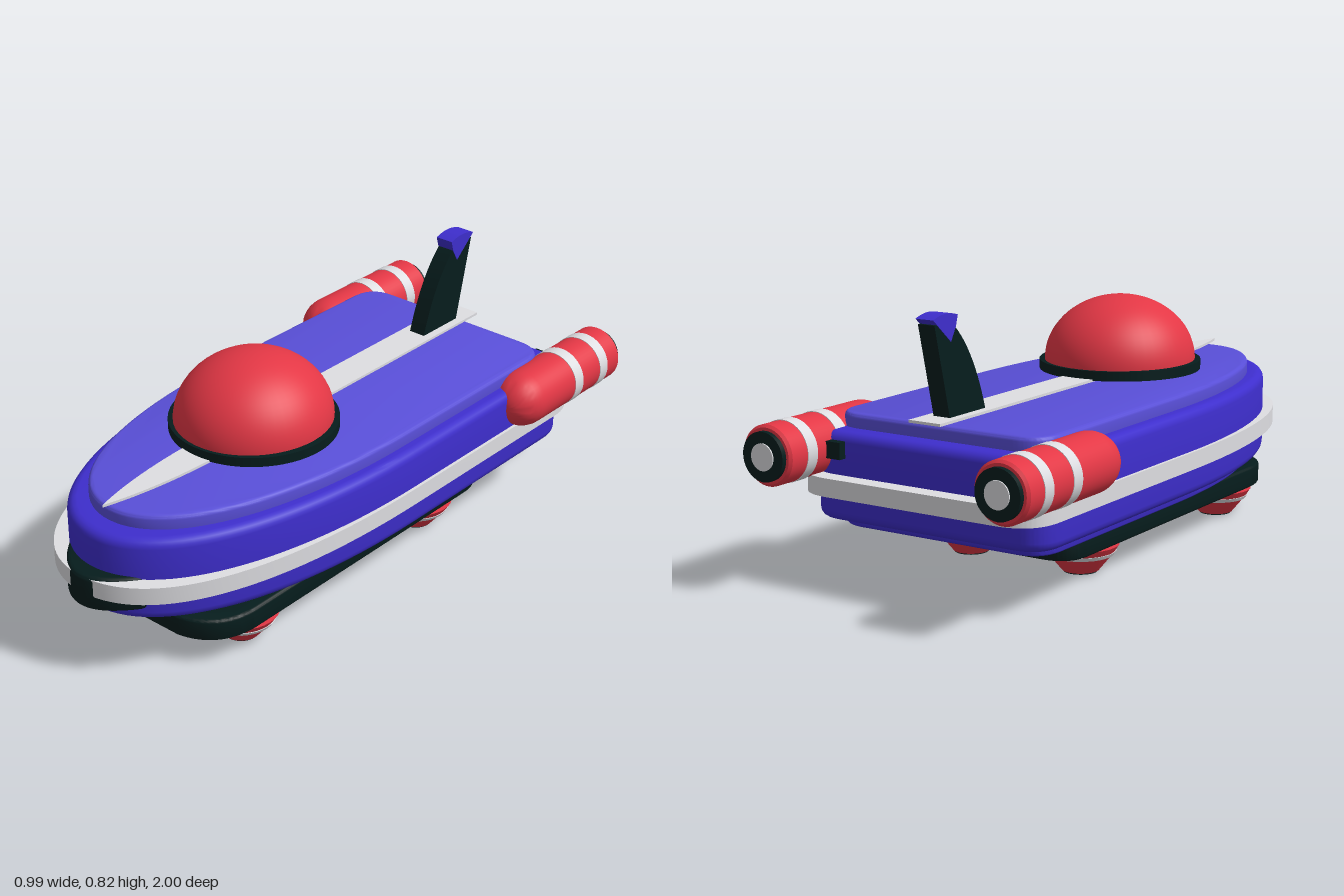
import * as THREE from 'three';
import { toCreasedNormals } from 'three/addons/utils/BufferGeometryUtils.js';

const material = (name, color) => {
  const m = new THREE.MeshStandardMaterial({ color });
  m.name = name;
  return m;
};

export function createModel() {
  const blue = material('blue', 0x3e2ecd);
  const deckBlue = material('deck blue', 0x594fd8);
  const red = material('red', 0xe33745);
  const grey = material('light grey', 0xdedee2);
  const dark = material('dark green', 0x061d1d);
  const model = new THREE.Group();
  model.name = 'hoverSpeeder';

  const add = (parent, name, geometry, mat) => {
    const mesh = new THREE.Mesh(geometry, mat);
    mesh.name = name;
    parent.add(mesh);
    return mesh;
  };

  // Plan outline (x, z) extruded between two heights with a rounded edge
  const slab = (shape, y0, y1, b) => {
    const g = new THREE.ExtrudeGeometry(shape, {
      depth: y1 - y0 - 2 * b, bevelEnabled: b > 0, bevelThickness: b, bevelSize: b,
      bevelOffset: -b, bevelSegments: 4, curveSegments: 28,
    });
    g.rotateX(Math.PI / 2).translate(0, y1 - b, 0);
    return toCreasedNormals(g, 0.6);
  };

  // Boat plan: full curved nose (k sets fullness), straight sides, rounded stern corners
  const boat = (w, nose, back, r, k) => {
    const s = new THREE.Shape();
    s.moveTo(w, 0);
    s.bezierCurveTo(w, k * nose, k * w, nose, 0, nose);
    s.bezierCurveTo(-k * w, nose, -w, k * nose, -w, 0);
    s.lineTo(-w, back + r);
    s.quadraticCurveTo(-w, back, -w + r, back);
    s.lineTo(w - r, back);
    s.quadraticCurveTo(w, back, w, back + r);
    return s;
  };

  const turned = (points, segments = 48) => toCreasedNormals(
    new THREE.LatheGeometry(points.map(([r, y]) => new THREE.Vector2(r, y)), segments), 0.6);

  // Hull layers and the trim belt
  add(model, 'hull', slab(boat(0.41, 0.945, -0.8, 0.11, 0.6), 0.195, 0.46, 0.028), blue);
  add(model, 'deck', slab(boat(0.365, 0.87, -0.73, 0.1, 0.6), 0.44, 0.503, 0.014), deckBlue);
  add(model, 'lowerPlate', slab(boat(0.365, 0.87, -0.73, 0.1, 0.6), 0.165, 0.22, 0.01), blue);
  add(model, 'trimBelt', slab(boat(0.42, 0.9925, -0.855, 0.13, 0.64), 0.28, 0.335, 0), grey);

  // Nose bumper breaking through the belt
  const bumper = new THREE.Shape();
  bumper.moveTo(0.185, 0.84);
  bumper.quadraticCurveTo(0, 1.157, -0.185, 0.84);
  add(model, 'noseBumper', slab(bumper, 0.232, 0.342, 0.014), dark);

  // Underbody with cut front corners
  const base = new THREE.Shape();
  base.moveTo(0.307, 0.6);
  base.quadraticCurveTo(0.3, 0.75, 0.16, 0.777);
  base.lineTo(-0.16, 0.777);
  base.quadraticCurveTo(-0.3, 0.75, -0.307, 0.6);
  base.lineTo(-0.307, -0.4);
  base.quadraticCurveTo(-0.307, -0.503, -0.205, -0.503);
  base.lineTo(0.205, -0.503);
  base.quadraticCurveTo(0.307, -0.503, 0.307, -0.4);
  add(model, 'underbody', slab(base, 0.087, 0.157, 0.01), dark);

  // Four hover jets
  for (const x of [-0.2, 0.2]) for (const z of [0.55, -0.28]) {
    const jet = new THREE.Group();
    jet.name = 'hoverJet';
    jet.position.set(x, 0, z);
    add(jet, 'jetCone', turned([[0, 0.006], [0.056, 0.006], [0.1, 0.06], [0.117, 0.087], [0, 0.087]], 32), red);
    add(jet, 'jetBand', turned([[0.094, 0.055], [0.1, 0.055], [0.1075, 0.067], [0.1, 0.067]], 32), grey);
    add(jet, 'jetNozzle', new THREE.CylinderGeometry(0.052, 0.052, 0.006, 32).translate(0, 0.005, 0), dark);
    add(jet, 'jetCore', new THREE.CylinderGeometry(0.03, 0.03, 0.005, 24).translate(0, 0.0025, 0), grey);
    model.add(jet);
  }

  // Centre stripe with a pointed front
  const stripe = new THREE.Shape();
  stripe.moveTo(0.055, -0.775);
  stripe.lineTo(0.055, 0.5);
  stripe.quadraticCurveTo(0.048, 0.73, 0, 0.893);
  stripe.quadraticCurveTo(-0.048, 0.73, -0.055, 0.5);
  stripe.lineTo(-0.055, -0.775);
  add(model, 'deckStripe', slab(stripe, 0.511, 0.519, 0), grey);

  // Cockpit dome on its collar
  add(model, 'domeCollar', new THREE.CylinderGeometry(0.258, 0.258, 0.03, 64).translate(0, 0.53, 0.265), dark);
  const dome = add(model, 'dome',
    new THREE.SphereGeometry(1, 48, 20, 0, Math.PI * 2, 0, Math.PI / 2), red);
  dome.scale.set(0.238, 0.205, 0.248);
  dome.position.set(0, 0.545, 0.265);

  // Tail fin: side profile drawn as (-z, y), extruded across x
  const blade = (shape, width) => toCreasedNormals(
    new THREE.ExtrudeGeometry(shape, { depth: width, bevelEnabled: false, curveSegments: 12 })
      .translate(0, 0, -width / 2).rotateY(Math.PI / 2), 0.5);
  const fin = new THREE.Shape();
  fin.moveTo(0.518, 0.506);
  fin.lineTo(0.69, 0.506);
  fin.lineTo(0.759, 0.79);
  fin.lineTo(0.685, 0.79);
  fin.lineTo(0.664, 0.776);
  fin.quadraticCurveTo(0.57, 0.69, 0.518, 0.506);
  add(model, 'tailFin', blade(fin, 0.057), dark);
  const tip = new THREE.Shape();
  tip.moveTo(0.685, 0.735);
  tip.lineTo(0.767, 0.806);
  tip.quadraticCurveTo(0.71, 0.828, 0.652, 0.808);
  tip.lineTo(0.662, 0.775);
  add(model, 'tailFinTip', blade(tip, 0.061), blue);

  // Twin engines on short pylons
  const body = [[0, -0.98], [0.082, -0.98], [0.09, -0.972], [0.09, -0.56]];
  for (let i = 1; i <= 10; i++) {
    const a = (i / 10) * Math.PI / 2;
    body.push([i === 10 ? 0 : 0.09 * Math.cos(a), -0.56 + 0.1 * Math.sin(a)]);
  }
  const disc = (r, z0, z1) => new THREE.CylinderGeometry(r, r, z1 - z0, 40)
    .translate(0, (z0 + z1) / 2, 0).rotateX(Math.PI / 2);
  for (const side of [-1, 1]) {
    const engine = new THREE.Group();
    engine.name = side > 0 ? 'leftEngine' : 'rightEngine';
    engine.position.set(side * 0.402, 0.411, 0);
    add(engine, 'engineBody', turned(body).rotateX(Math.PI / 2), red);
    add(engine, 'frontBand', disc(0.092, -0.768, -0.725), grey);
    add(engine, 'rearBand', disc(0.092, -0.907, -0.865), grey);
    add(engine, 'exhaustRing', disc(0.073, -0.996, -0.97), dark);
    add(engine, 'exhaustCore', disc(0.04, -1, -0.99), grey);
    add(engine, 'pylon', new THREE.BoxGeometry(0.1, 0.05, 0.2).translate(-side * 0.087, 0, -0.725), dark);
    model.add(engine);
  }
  return model;
}
